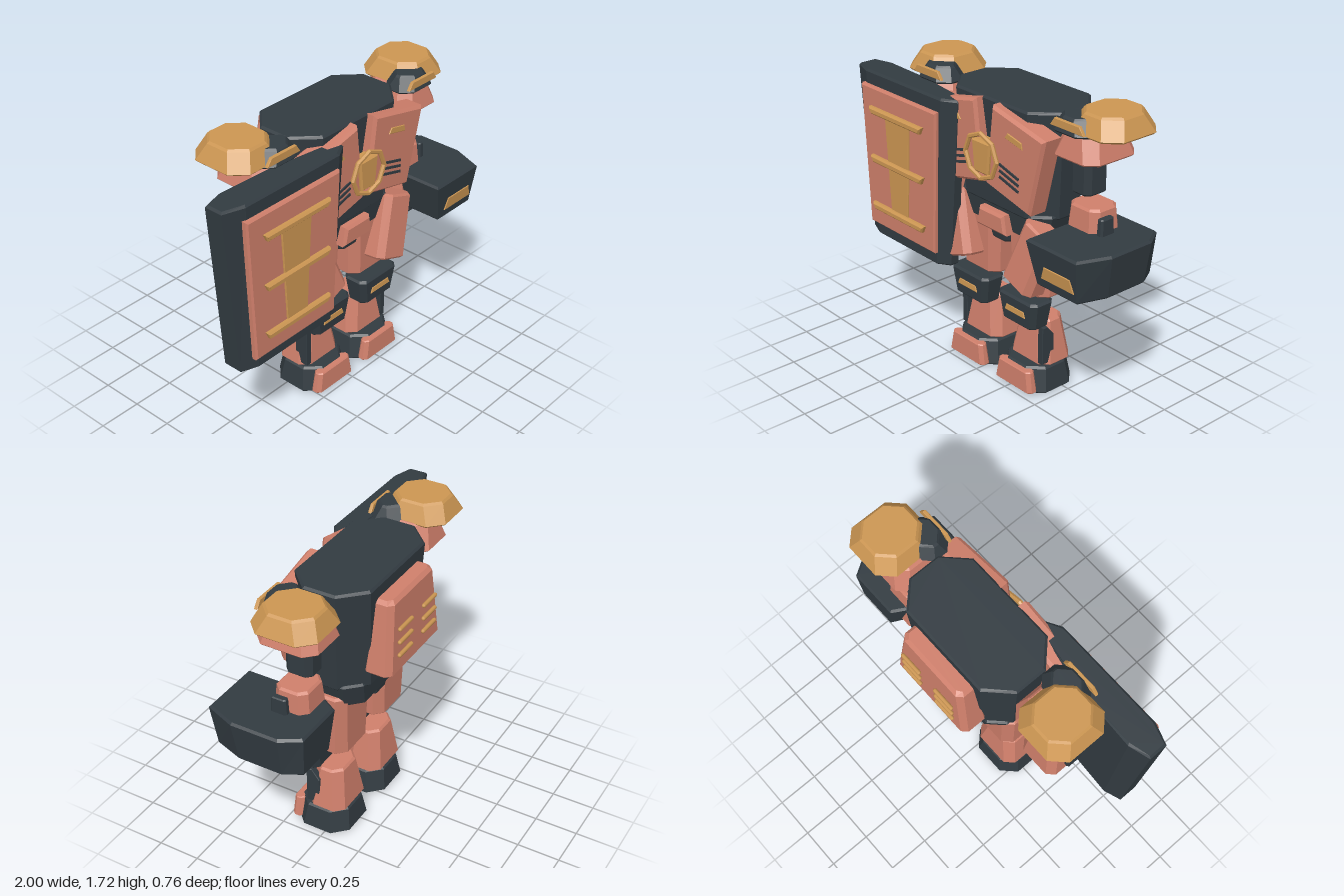
import * as THREE from 'three';

const mat = (name, color) => {
  const m = new THREE.MeshStandardMaterial({ color });
  m.name = name;
  return m;
};

// Prism between two outlines of [x, v] points (counter-clockwise, v = -z) with bevelled ends
function prism(bot, top, y0, y1, b = 0.012) {
  const shrink = (poly) => {
    const box = new THREE.Box2().setFromPoints(poly.map((p) => new THREE.Vector2(...p)));
    const c = box.getCenter(new THREE.Vector2()), s = box.getSize(new THREE.Vector2());
    return poly.map(([x, v]) => [c.x + (x - c.x) * (1 - 2 * b / s.x), c.y + (v - c.y) * (1 - 2 * b / s.y)]);
  };
  const rings = [[shrink(bot), y0], [bot, y0 + b], [top, y1 - b], [shrink(top), y1]]
    .map(([poly, y]) => poly.map(([x, v]) => [x, y, -v]));
  const pos = [], n = bot.length;
  const tri = (...pts) => pts.forEach((p) => pos.push(...p));
  for (let r = 0; r < 3; r++) {
    for (let i = 0; i < n; i++) {
      const j = (i + 1) % n, lo = rings[r], hi = rings[r + 1];
      tri(lo[i], lo[j], hi[j]);
      tri(lo[i], hi[j], hi[i]);
    }
  }
  for (let i = 1; i < n - 1; i++) {
    tri(rings[3][0], rings[3][i], rings[3][i + 1]);
    tri(rings[0][0], rings[0][i + 1], rings[0][i]);
  }
  const g = new THREE.BufferGeometry();
  g.setAttribute('position', new THREE.Float32BufferAttribute(pos, 3));
  g.computeVertexNormals();
  return g;
}

// Rectangle with cut corners
const octagon = (w, d, c) => {
  const x = w / 2, v = d / 2;
  return [[x, -v + c], [x, v - c], [x - c, v], [-x + c, v], [-x, v - c], [-x, -v + c], [-x + c, -v], [x - c, -v]];
};
// Tapered block with cut corners: bottom width/depth, top width/depth, height range, cut
const block = (w0, d0, w1, d1, y0, y1, c = 0.04, b) => prism(octagon(w0, d0, c), octagon(w1, d1, c), y0, y1, b);
// Plate facing +z from a front outline of [x, y]
const plate = (front, z0, z1, b = 0.003, back = front) => prism(back, front, z0, z1, b).rotateX(Math.PI / 2);
const trapezoid = (wBottom, wTop, h) => [[-wBottom / 2, -h / 2], [wBottom / 2, -h / 2], [wTop / 2, h / 2], [-wTop / 2, h / 2]];
const mirror = (poly, s) => (s > 0 ? poly : poly.map(([x, y]) => [-x, y]).reverse());

export function createModel() {
  const red = mat('clay red', 0xcf7f6b);
  const dark = mat('slate', 0x323b41);
  const gold = mat('gold', 0xcc9652);
  const root = new THREE.Group();
  root.name = 'robot';
  const body = new THREE.Group();
  body.name = 'body';
  body.position.x = 0.083;
  root.add(body);
  const add = (parent, name, geo, m, x = 0, y = 0, z = 0, rx = 0, rz = 0) => {
    const mesh = new THREE.Mesh(geo, m);
    mesh.name = name;
    mesh.position.set(x, y, z);
    mesh.rotation.set(rx, 0, rz);
    parent.add(mesh);
    return mesh;
  };

  // Torso, waist and pelvis
  add(body, 'torso', block(0.74, 0.4, 0.83, 0.45, 1.03, 1.65, 0.13), dark, 0, 0, -0.025);
  add(body, 'waist', block(0.64, 0.34, 0.72, 0.37, 0.9, 1.06, 0.08), dark, 0, 0, -0.02);
  add(body, 'pelvis', block(0.15, 0.3, 0.18, 0.34, 0.82, 0.95, 0.03), dark);
  add(body, 'pelvisPlate', plate(trapezoid(0.24, 0.2, 0.115), 0.1, 0.21, 0.015), red, 0, 0.953, 0);

  // Chest emblem
  add(body, 'emblemRing', new THREE.TorusGeometry(0.127, 0.014, 6, 8).toNonIndexed(), gold, 0, 1.345, 0.27)
    .geometry.computeVertexNormals();
  add(body, 'emblemCore', plate(trapezoid(0.11, 0.15, 0.185), 0.19, 0.275, 0.01), gold, 0, 1.34, 0);

  // Backpack with vents
  add(body, 'backpack', block(0.56, 0.17, 0.46, 0.13, 1.13, 1.57, 0.03, 0.02), red, 0, 0, -0.275);
  for (const s of [-1, 1]) {
    for (let i = 0; i < 3; i++) {
      add(body, 'backVent', new THREE.CapsuleGeometry(0.012, 0.125, 3, 8), gold, s * 0.128, 1.25 + i * 0.08, -0.367, 0, Math.PI / 2);
    }
  }

  for (const s of [-1, 1]) {
    // Chest half
    const chest = [[0.01, 1.19], [0.36, 1.11], [0.473, 1.556], [0.067, 1.645]];
    add(body, 'chestPlate', plate(mirror(chest, s), 0.12, 0.255, 0.018), red);
    add(body, 'chestMark', plate(mirror(trapezoid(0.14, 0.11, 0.035), s), 0, 0.009), gold, s * 0.25, 1.5, 0.252, 0, -s * 0.22);
    for (let i = 0; i < 3; i++) {
      add(body, 'chestRib', new THREE.BoxGeometry(0.155, 0.014, 0.009), dark, s * 0.21, 1.318 - i * 0.035, 0.257, 0, -s * 0.27);
    }

    // Shoulder
    const arm = new THREE.Group();
    arm.name = s > 0 ? 'leftArm' : 'rightArm';
    body.add(arm);
    add(arm, 'shoulderCap', block(0.37, 0.385, 0.28, 0.3, 1.605, 1.72, 0.08), gold, s * 0.657, 0, -0.043);
    add(arm, 'shoulderPad', block(0.32, 0.36, 0.23, 0.29, 1.465, 1.62, 0.06), red, s * 0.572, 0, 0);
    add(arm, 'shoulderLamp', block(0.27, 0.2, 0.2, 0.15, 1.6, 1.69, 0.06), dark, s * 0.547, 0, 0.09);
    add(arm, 'shoulderVisor', plate(trapezoid(0.24, 0.18, 0.045), 0, 0.02), gold, s * 0.557, 1.65, 0.165);

    // Arm
    add(arm, 'upperArm', block(0.14, 0.16, 0.14, 0.16, 1.245, 1.5, 0.03), dark, s * 0.537, 0, -0.005);
    add(arm, 'forearm', block(0.26, 0.24, 0.21, 0.19, 0.87, 1.2, 0.04), red, s * 0.577, 0, 0);
    add(arm, 'forearmGuard', block(0.05, 0.11, 0.04, 0.09, 0.93, 1.165, 0.01, 0.006), dark, s * 0.705, 0, 0.038);
    add(arm, 'hand', block(0.13, 0.19, 0.15, 0.2, 0.775, 0.89, 0.04), dark, s * 0.577, 0, 0.03);

    // Leg
    const leg = new THREE.Group();
    leg.name = s > 0 ? 'leftLeg' : 'rightLeg';
    leg.position.x = s * 0.203;
    body.add(leg);
    add(leg, 'thigh', block(0.29, 0.25, 0.32, 0.27, 0.57, 0.96, 0.05), red, 0, 0, 0.01);
    add(leg, 'hipSkirt', block(0.235, 0.16, 0.225, 0.14, -0.19, 0.19, 0.035), red, s * 0.104, 0.835, 0.165, -0.12, -s * 0.33);
    add(leg, 'knee', block(0.26, 0.14, 0.31, 0.16, 0.395, 0.565, 0.03), dark, 0, 0, 0.13);
    add(leg, 'kneeMark', plate(trapezoid(0.165, 0.14, 0.036), 0, 0.009), gold, 0, 0.482, 0.202, -0.08);
    add(leg, 'shin', block(0.31, 0.23, 0.23, 0.17, 0.15, 0.415, 0.05), red, 0, 0, 0.015);
    const guard = [[-0.04, 0.17], [0.045, 0.17], [0.045, 0.4], [0.01, 0.4], [-0.04, 0.34]].map(([x, y]) => [-x, y]).reverse();
    const guardGeo = plate(guard, -0.02, 0.02, 0.004).rotateY(Math.PI / 2);
    add(leg, 'shinGuard', guardGeo, dark, s * 0.122, 0, 0.085);
    add(leg, 'foot', block(0.355, 0.335, 0.31, 0.3, 0, 0.155, 0.08), dark, 0, 0, 0.045);
    add(leg, 'toePlate', block(0.3, 0.07, 0.26, 0.06, 0.018, 0.145, 0.02, 0.006), red, 0, 0, 0.197);
  }

  // Blocky weapon pod around the left forearm
  const podTop = [[0.565, -0.38], [0.93, -0.38], [1, -0.2], [1, 0.08], [0.93, 0.19], [0.63, 0.19], [0.565, 0.08]];
  const podBottom = podTop.map(([x, v]) => [0.62 + (x - 0.565) * 0.793, v * 0.92]);
  add(root, 'weaponPod', prism(podBottom, podTop, 0.82, 1.075), dark);
  add(root, 'podMark', plate(trapezoid(0.24, 0.19, 0.075), 0, 0.009), gold, 0.78, 0.918, 0.358, 0.1);

  // Shield in front of the right arm
  const shield = new THREE.Group();
  shield.name = 'shield';
  shield.position.x = -0.558;
  root.add(shield);
  const slabTop = [[-0.442, -0.27], [-0.32, -0.31], [0.358, -0.31], [0.443, -0.26], [0.443, -0.21], [0, -0.14], [-0.32, -0.125], [-0.442, -0.16]];
  const slabBottom = slabTop.map(([x, v]) => [x * 0.814, v]);
  add(shield, 'shieldSlab', prism(slabBottom, slabTop, 0.585, 1.595), dark);
  add(shield, 'shieldPanel', plate(trapezoid(0.6, 0.68, 0.85), 0.29, 0.335, 0.01), red, 0, 1.09);
  add(shield, 'shieldStripe', plate(trapezoid(0.15, 0.22, 0.58), 0.33, 0.345), gold, 0, 1.09);
  for (const y of [0.795, 1.09, 1.385]) {
    add(shield, 'shieldBar', plate(trapezoid(0.44, 0.48, 0.042), 0.33, 0.366, 0.01), gold, 0, y);
  }
  return root;
}
